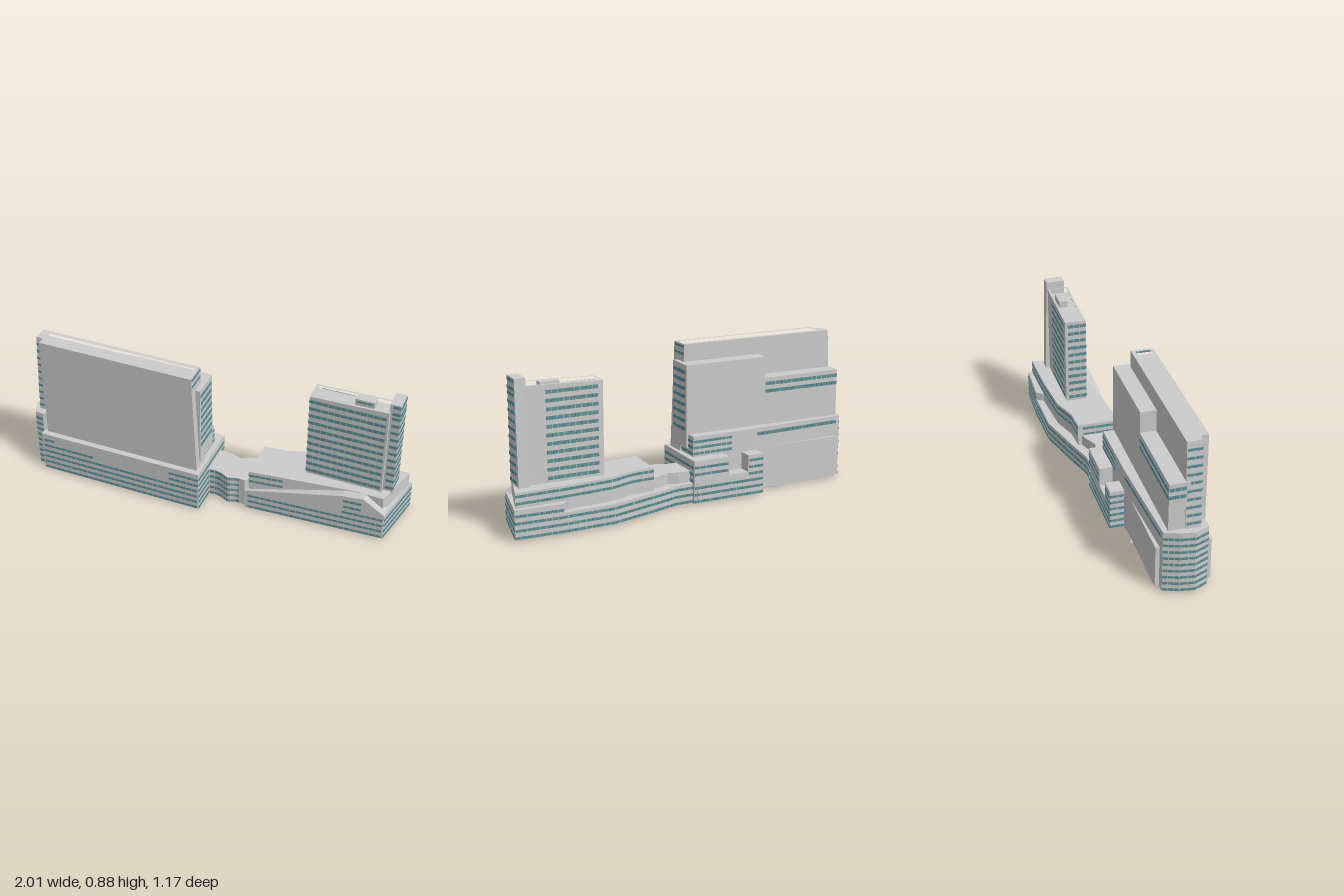
import * as THREE from 'three';
import { mergeGeometries } from 'three/addons/utils/BufferGeometryUtils.js';

const wallMat = new THREE.MeshStandardMaterial({ color: 0xcccccc, flatShading: true });
const glassMat = new THREE.MeshStandardMaterial({ color: 0x5f9097 });
const BASE = 0.008;

// Plan corners [x, z] raised from y0 to y1; hole cuts a well, reshape moves the vertices
function prism(parent, name, pts, y0, y1, { hole, reshape } = {}) {
  const flip = (list) => list.map(([x, z]) => new THREE.Vector2(x, -z));
  const shape = new THREE.Shape(flip(pts));
  if (hole) shape.holes.push(new THREE.Path(flip(hole)));
  const geo = new THREE.ExtrudeGeometry(shape, { depth: y1 - y0, bevelEnabled: false });
  geo.rotateX(-Math.PI / 2).translate(0, y0, 0);
  if (reshape) {
    const p = geo.attributes.position;
    const v = new THREE.Vector3();
    for (let i = 0; i < p.count; i++) {
      reshape(v.fromBufferAttribute(p, i));
      p.setXYZ(i, v.x, v.y, v.z);
    }
    geo.computeVertexNormals();
  }
  const mesh = new THREE.Mesh(geo, wallMat);
  mesh.name = name;
  parent.add(mesh);
}

const rect = (x0, x1, z0, z1) => [[x0, z0], [x1, z0], [x1, z1], [x0, z1]];

// Rows of panes along each wall of an open path of plan corners
function windows(parent, name, path, rows, h = 0.015) {
  const panes = [];
  for (let i = 0; i + 1 < path.length; i++) {
    const [ax, az] = path[i], [bx, bz] = path[i + 1];
    const len = Math.hypot(bx - ax, bz - az);
    const n = Math.max(1, Math.round(len / 0.035));
    for (const y of rows) {
      for (let k = 0; k < n; k++) {
        const f = (k + 0.5) / n;
        panes.push(new THREE.BoxGeometry(len / n - 0.003, h, 0.006)
          .rotateY(Math.atan2(az - bz, bx - ax))
          .translate(ax + (bx - ax) * f, y, az + (bz - az) * f));
      }
    }
  }
  const mesh = new THREE.Mesh(mergeGeometries(panes), glassMat);
  mesh.name = name;
  parent.add(mesh);
}

const rows = (start, end, pitch) => {
  const out = [];
  for (let y = start; y <= end + 1e-6; y += pitch) out.push(y);
  return out;
};
const low = (n) => rows(0.02, 0.02 + (n - 1) * 0.04, 0.04);

function westBuilding() {
  const g = new THREE.Group();
  g.name = 'westBuilding';
  g.rotation.y = 0.337;

  // Podium, rounded west end and rear base
  prism(g, 'westPodium', rect(-1.012, -0.017, -0.045, 0.259), BASE, 0.26);
  const cap = [[-1.052, -0.02], [-1.082, 0.065], [-1.094, 0.145], [-1.062, 0.22], [-1.015, 0.224]];
  prism(g, 'westBase', [...cap, [-0.98, 0.2], [-0.05, 0.2], [-0.05, -0.055], [-0.46, -0.05]], BASE, 0.38);
  windows(g, 'westEndWindows', cap, rows(0.02, 0.36, 0.04));
  windows(g, 'podiumFrontWindows', [[-1.005, 0.259], [-0.025, 0.259]], low(4));
  windows(g, 'podiumUpperWindows', [[-1.0, 0.259], [-0.68, 0.259]], [0.18]);
  windows(g, 'podiumCornerWindows', [[-0.2, 0.259], [-0.017, 0.259]], [0.18, 0.22]);
  windows(g, 'podiumTopWindows', [[-1.0, 0.259], [-0.93, 0.259]], [0.22]);
  windows(g, 'podiumEastWindows', [[-0.017, 0.255], [-0.017, -0.125]], low(6));
  windows(g, 'baseEastWindows', [[-0.05, 0.19], [-0.05, -0.055], [-0.3, -0.0525]], [0.28, 0.315, 0.35]);
  windows(g, 'baseRearWindows', [[-0.47, -0.05], [-1.03, -0.0215]], [0.345], 0.02);

  // Rear annex with an open terrace
  prism(g, 'annexEast', rect(-0.24, -0.017, -0.13, -0.04), BASE, 0.26);
  prism(g, 'annexTerrace', rect(-0.37, -0.23, -0.13, -0.04), BASE, 0.15);
  prism(g, 'annexPier', rect(-0.463, -0.365, -0.131, -0.04), BASE, 0.25);
  windows(g, 'annexWindows', [[-0.46, -0.131], [-0.02, -0.131]], low(3));
  windows(g, 'annexPierWindows', [[-0.463, -0.05], [-0.463, -0.131], [-0.37, -0.131]], low(6));
  windows(g, 'annexEastWindows', [[-0.235, -0.13], [-0.02, -0.13]], [0.18, 0.22]);

  // Tall slab, its ends leaning inwards, with a sunken roof
  const slab = [[-1.03, 0.098], [-0.067, 0.098], [-0.067, 0.225], [-0.99, 0.225], [-0.99, 0.18], [-1.03, 0.18]];
  const lean = (v) => {
    const drop = (0.885 - v.y) / 0.625;
    if (v.x > -0.5) v.x += 0.027 * drop;
    else if (v.z < 0.2) v.x -= 0.03 * drop;
  };
  prism(g, 'slabTower', slab, 0.25, 0.85, { reshape: lean });
  prism(g, 'slabParapet', slab, 0.85, 0.885, { hole: rect(-0.975, -0.085, 0.122, 0.205), reshape: lean });
  for (const y of rows(0.41, 0.87, 0.0475)) {
    const dx = 0.03 * (0.885 - y) / 0.625;
    windows(g, 'slabWestWindows', [[-0.99, 0.18], [-1.03 - dx, 0.18], [-1.03 - dx, 0.1]], [y]);
  }
  windows(g, 'slabEastWindows', [[-0.066, 0.22], [-0.066, 0.102]], [0.83, 0.872]);

  // Stepped rear volumes
  prism(g, 'rearTower', rect(-0.547, -0.035, 0.008, 0.18), 0.3, 0.785);
  windows(g, 'rearTowerWindows', [[-0.035, 0.17], [-0.035, 0.02]], rows(0.41, 0.76, 0.0475), 0.02);
  prism(g, 'rearWing', [[-1.045, 0.008], [-0.54, 0.008], [-0.54, 0.12], [-1.045, 0.12]], 0.3, 0.66);
  windows(g, 'rearWingWindows', [[-1.045, 0.1], [-1.045, 0.008], [-0.55, 0.008]], [0.58, 0.625], 0.02);
  return g;
}

function connector() {
  const g = new THREE.Group();
  g.name = 'connector';
  // Curved link between both podiums, with a lower strip behind it
  const front = new THREE.SplineCurve([[-0.02, 0.13], [0.05, 0.092], [0.1, 0.085], [0.15, 0.09], [0.19, 0.06], [0.24, 0.045]]
    .map(([x, z]) => new THREE.Vector2(x, z))).getPoints(15).map((p) => [p.x, p.y]);
  const back = [[0.23, -0.21], [0.15, -0.15], [0.09, -0.09], [0.03, -0.09], [-0.06, -0.06]];
  prism(g, 'linkHall', [...front, [0.3, -0.1], ...back], BASE, 0.19);
  windows(g, 'linkWindows', front.slice(2, 14), low(5));
  const rear = [[-0.08, -0.115], [-0.05, -0.1], [0.05, -0.14], [0.19, -0.245], [0.41, -0.4], [0.7, -0.51]];
  prism(g, 'rearStrip', [...rear, [0.7, -0.4], [0.3, -0.15], [0, 0]], BASE, 0.125);
  windows(g, 'rearStripWindows', rear.slice(1), low(3));
  return g;
}

function eastBuilding() {
  const g = new THREE.Group();
  g.name = 'eastBuilding';

  // Lower podium and upper podium
  prism(g, 'eastPodium', [[0.27, 0], [0.985, -0.26], [1, -0.25], [0.95, -0.588], [0.69, -0.508], [0.66, -0.4], [0.3, -0.2]], BASE, 0.175);
  windows(g, 'eastPodiumWindows', [[1, -0.252], [0.95, -0.588], [0.69, -0.508]], low(4));
  const rear = [[0.945, -0.56], [0.68, -0.46], [0.42, -0.345], [0.3, -0.25], [0.18, -0.2]];
  prism(g, 'upperPodium', [[0.262, 0.036], [0.8, -0.225], [0.965, -0.28], ...rear], BASE, 0.26);
  windows(g, 'upperRearWindows', rear, [0.2, 0.24]);
  windows(g, 'upperFrontWindows', [[0.19, -0.172], [0.262, 0.036], [0.44, -0.05]], [0.195, 0.235]);

  // Front wall whose top climbs and then falls
  const wall = new THREE.Group();
  wall.name = 'slopedFront';
  wall.position.set(0.25, 0, 0.06);
  wall.rotation.y = Math.atan2(0.31, 0.75);
  const outline = [[0, BASE], [0.811, BASE], [0.811, 0.175], [0.69, 0.26], [0.57, 0.252], [0, 0.13]];
  const geo = new THREE.ExtrudeGeometry(new THREE.Shape(outline.map(([x, y]) => new THREE.Vector2(x, y))), { depth: 0.07, bevelEnabled: false });
  const mesh = new THREE.Mesh(geo.translate(0, 0, -0.07), wallMat);
  mesh.name = 'slopedWall';
  wall.add(mesh);
  windows(wall, 'frontWindows', [[0.02, 0], [0.805, 0]], low(3));
  windows(wall, 'frontMiddleWindows', [[0.57, 0], [0.805, 0]], [0.14]);
  windows(wall, 'frontUpperWindows', [[0.575, 0], [0.68, 0]], [0.18, 0.22]);
  g.add(wall);

  // Tower with a rising parapet, roof house and taller end shaft
  const t = new THREE.Group();
  t.name = 'eastTower';
  t.rotation.y = 0.337;
  const levels = rows(0.285, 0.76, 0.0475);
  prism(t, 'towerBody', rect(0.532, 0.975, -0.125, 0), 0.25, 0.77);
  prism(t, 'towerParapet', rect(0.532, 0.975, -0.125, 0), 0.76, 0.79, {
    hole: rect(0.545, 0.965, -0.112, -0.013),
    reshape: (v) => { if (v.y > 0.78) v.y += (v.x - 0.532) * 0.03; },
  });
  windows(t, 'towerFrontWindows', [[0.532, -0.11], [0.532, 0], [0.965, 0]], levels, 0.02);
  windows(t, 'towerRearWindows', [[0.56, -0.125], [0.86, -0.125]], levels, 0.02);
  prism(t, 'roofHouse', rect(0.77, 0.88, -0.1, -0.05), 0.76, 0.81);
  windows(t, 'roofHouseWindows', [[0.78, -0.05], [0.87, -0.05]], [0.795], 0.012);
  prism(t, 'endShaft', rect(0.97, 1.032, -0.132, -0.022), 0.25, 0.85, {
    reshape: (v) => { if (v.z < -0.1) v.z -= 0.018 * (0.85 - v.y) / 0.6; },
  });
  windows(t, 'endShaftWindows', [[0.985, -0.022], [1.032, -0.022], [1.032, -0.13]], [...levels, 0.79, 0.835], 0.018);
  g.add(t);
  return g;
}

export function createModel() {
  const model = new THREE.Group();
  model.name = 'towerComplex';
  model.add(westBuilding(), connector(), eastBuilding());
  // Shallow footings under the podiums
  prism(model, 'eastFooting', rect(0.45, 0.8, -0.3, -0.2), 0, 0.01);
  prism(model, 'westFooting', rect(-0.6, -0.3, 0.15, 0.25), 0, 0.01);
  return model;
}
